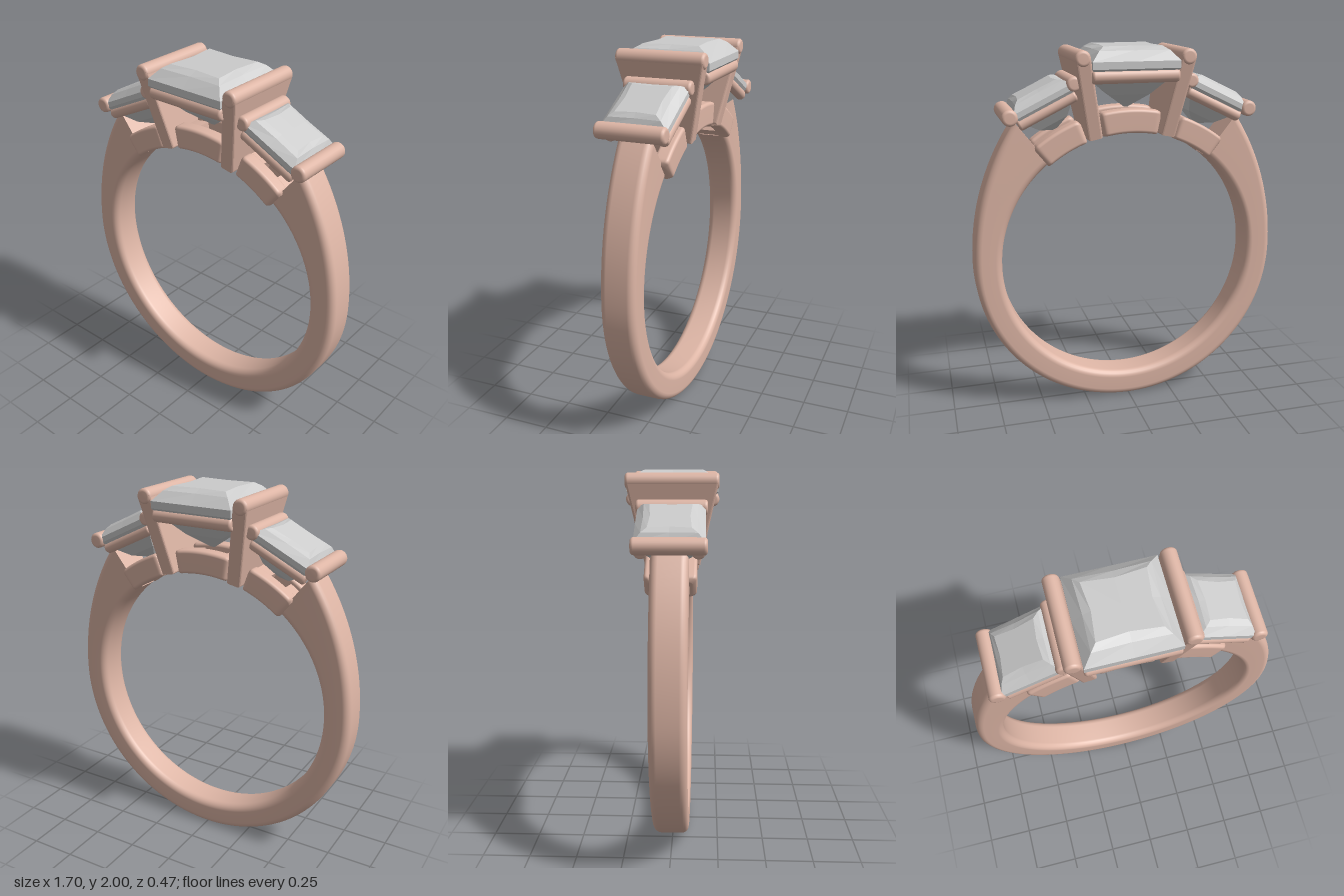
import * as THREE from 'three';

const metal = new THREE.MeshStandardMaterial({ color: 0xddb5a5 });
const gem = new THREE.MeshStandardMaterial({ color: 0xcccccc, flatShading: true });
const CY = 0.85, R = 0.70, DEG = Math.PI / 180;

function add(parent, name, geometry, material = metal) {
  const mesh = new THREE.Mesh(geometry, material);
  mesh.name = name;
  parent.add(mesh);
  return mesh;
}

// Skin over a list of cross-sections, with flat end caps
function loft(rings) {
  const pos = [], idx = [], n = rings[0].length;
  rings.forEach(r => r.forEach(p => pos.push(...p)));
  for (let i = 0; i < rings.length - 1; i++) {
    for (let j = 0; j < n; j++) {
      const k = (j + 1) % n, a = i * n + j, b = i * n + k;
      idx.push(a, b, b + n, a, b + n, a + n);
    }
  }
  [rings[0], rings[rings.length - 1]].forEach((ring, end) => {
    const base = pos.length / 3;
    ring.forEach(p => pos.push(...p));
    pos.push(...[0, 1, 2].map(c => ring.reduce((s, p) => s + p[c], 0) / n));
    for (let j = 0; j < n; j++) {
      const k = (j + 1) % n;
      idx.push(base + n, base + (end ? j : k), base + (end ? k : j));
    }
  });
  const g = new THREE.BufferGeometry();
  g.setAttribute('position', new THREE.Float32BufferAttribute(pos, 3));
  g.setIndex(idx);
  g.computeVertexNormals();
  return g;
}

// Rounded rectangle from z0..z1 and radius r0..r1, anticlockwise
function section(z0, z1, r0, r1, rad) {
  const pts = [], corners = [[z1, r1, -1, -1], [z0, r1, 1, -1], [z0, r0, 1, 1], [z1, r0, -1, 1]];
  corners.forEach(([z, r, dz, dr], q) => {
    for (let i = 0; i <= 5; i++) {
      const a = (q + i / 5) * Math.PI / 2;
      pts.push([z + dz * rad + rad * Math.cos(a), r + dr * rad + rad * Math.sin(a)]);
    }
  });
  return pts;
}

// Sweep a section around the finger hole between two angles in degrees
function arcSweep(a0, a1, steps, sectionAt) {
  const rings = [];
  for (let i = 0; i <= steps; i++) {
    const deg = a0 + (a1 - a0) * i / steps, a = deg * DEG;
    rings.push(sectionAt(deg).map(([z, r]) => [r * Math.cos(a), CY + r * Math.sin(a), z]));
  }
  return loft(rings);
}

// Round bar with softened ends, centred on the origin along y
function bar(radius, length) {
  const h = length / 2, e = radius * 0.4, pts = [new THREE.Vector2(0, -h)];
  for (const s of [-1, 1]) {
    for (let i = 0; i <= 4; i++) {
      const a = (s < 0 ? -90 + i * 22.5 : i * 22.5) * DEG;
      pts.push(new THREE.Vector2(radius - e + e * Math.cos(a), s * (h - e) + e * Math.sin(a)));
    }
  }
  pts.push(new THREE.Vector2(0, h));
  return new THREE.LatheGeometry(pts, 24);
}
const barX = (r, l) => bar(r, l).rotateZ(Math.PI / 2);
const barZ = (r, l) => bar(r, l).rotateX(Math.PI / 2);

// Square-cut stone, bottom to top: rows of [height, half x, half z, edge-middle factor]
function stone(rows) {
  return loft(rows.map(([y, hx, hz, m]) => [
    [1, 1], [m, 0], [1, -1], [0, -m], [-1, -1], [-m, 0], [-1, 1], [0, m],
  ].map(([x, z]) => [x * hx, y, z * hz])));
}

// Open frame of two curved rails and two cross pieces under a stone
function gallery(a0, a1) {
  const g = new THREE.Group();
  g.name = 'galleryFrame';
  for (const s of [-1, 1]) {
    add(g, 'galleryRail', arcSweep(a0, a1, 32, deg => {
      // Rounds off the last two degrees at each end
      const t = Math.max(0, 1 - Math.min(deg - a0, a1 - deg) / 2);
      const inset = 0.022 * (1 - Math.sqrt(Math.max(0, 1 - t * t)));
      return section(s * 0.09 - 0.04 + inset, s * 0.09 + 0.04 - inset, R, R + 0.126 - inset, 0.017);
    }));
  }
  for (const a of [a0 + 0.3, a1 - 6.3]) {
    add(g, 'galleryCrossPiece', arcSweep(a, a + 6, 4, () => section(-0.085, 0.085, R + 0.004, R + 0.1, 0.02)));
  }
  return g;
}

// Everything on one side: prong plate, side stone and its setting
function sideSetting() {
  const half = new THREE.Group();
  half.name = 'sideSetting';

  // Leaning plate with a rounded top edge
  const prong = new THREE.Group();
  prong.name = 'prongPlate';
  prong.position.set(0.197, 1.53, 0);
  prong.rotation.z = -0.188;
  const shape = new THREE.Shape([[-0.133, 0.01], [0.133, 0.01], [0.221, 0.42], [-0.221, 0.42]]
    .map(p => new THREE.Vector2(...p)));
  const plate = new THREE.ExtrudeGeometry(shape, {
    depth: 0.056, bevelSize: 0.012, bevelThickness: 0.012, bevelSegments: 3,
  });
  add(prong, 'plate', plate.translate(0, 0, -0.028).rotateY(Math.PI / 2));
  add(prong, 'plateTopBar', barZ(0.041, 0.47)).position.y = 0.425;
  half.add(prong);

  // Tilted side stone on two rails
  const tilted = new THREE.Group();
  tilted.name = 'tiltedStoneSetting';
  tilted.position.set(0.466, 1.74, 0);
  tilted.rotation.z = -26 * DEG;
  add(tilted, 'sideStone', stone([
    [-0.185, 0.012, 0.012, 1], [-0.14, 0.08, 0.08, 1], [-0.075, 0.128, 0.13, 1],
    [-0.015, 0.165, 0.17, 1], [0.012, 0.165, 0.17, 1],
    [0.045, 0.135, 0.135, 0.97], [0.058, 0.11, 0.105, 0.92],
  ]), gem);
  for (const s of [-1, 1]) {
    add(tilted, 'sideStoneRail', barX(0.031, 0.33)).position.set(0.005, -0.053, s * 0.138);
  }
  half.add(tilted);

  // Bars holding the stone at its outer and inner edges
  add(half, 'outerStoneBar', barZ(0.042, 0.36)).position.set(0.64, 1.662, 0);
  add(half, 'innerStoneBar', barZ(0.038, 0.36)).position.set(0.312, 1.82, 0);

  half.add(gallery(51, 70.5));
  return half;
}

export function createModel() {
  const ring = new THREE.Group();
  ring.name = 'ring';

  // Band, thickening toward its two shoulders
  add(ring, 'band', arcSweep(-232, 52, 120, deg => {
    const up = Math.max(0, Math.abs(deg + 90) - 90) / 52;
    return section(-0.092, 0.092, R, 0.848 + 0.136 * up * up, 0.038);
  }));

  // Centre stone with its front and back rails
  add(ring, 'centreStone', stone([
    [1.675, 0.01, 0.01, 1], [1.75, 0.105, 0.105, 1], [1.825, 0.175, 0.175, 1],
    [1.893, 0.23, 0.234, 1], [1.93, 0.23, 0.234, 1],
    [1.98, 0.185, 0.185, 0.97], [2.0, 0.155, 0.15, 0.9],
  ]), gem);
  for (const s of [-1, 1]) {
    add(ring, 'centreStoneRail', barX(0.037, 0.46)).position.set(0, 1.856, s * 0.2);
  }
  ring.add(gallery(78, 102));

  // The two sides match under a half turn
  for (const turn of [0, Math.PI]) {
    const side = sideSetting();
    side.rotation.y = turn;
    ring.add(side);
  }
  return ring;
}
